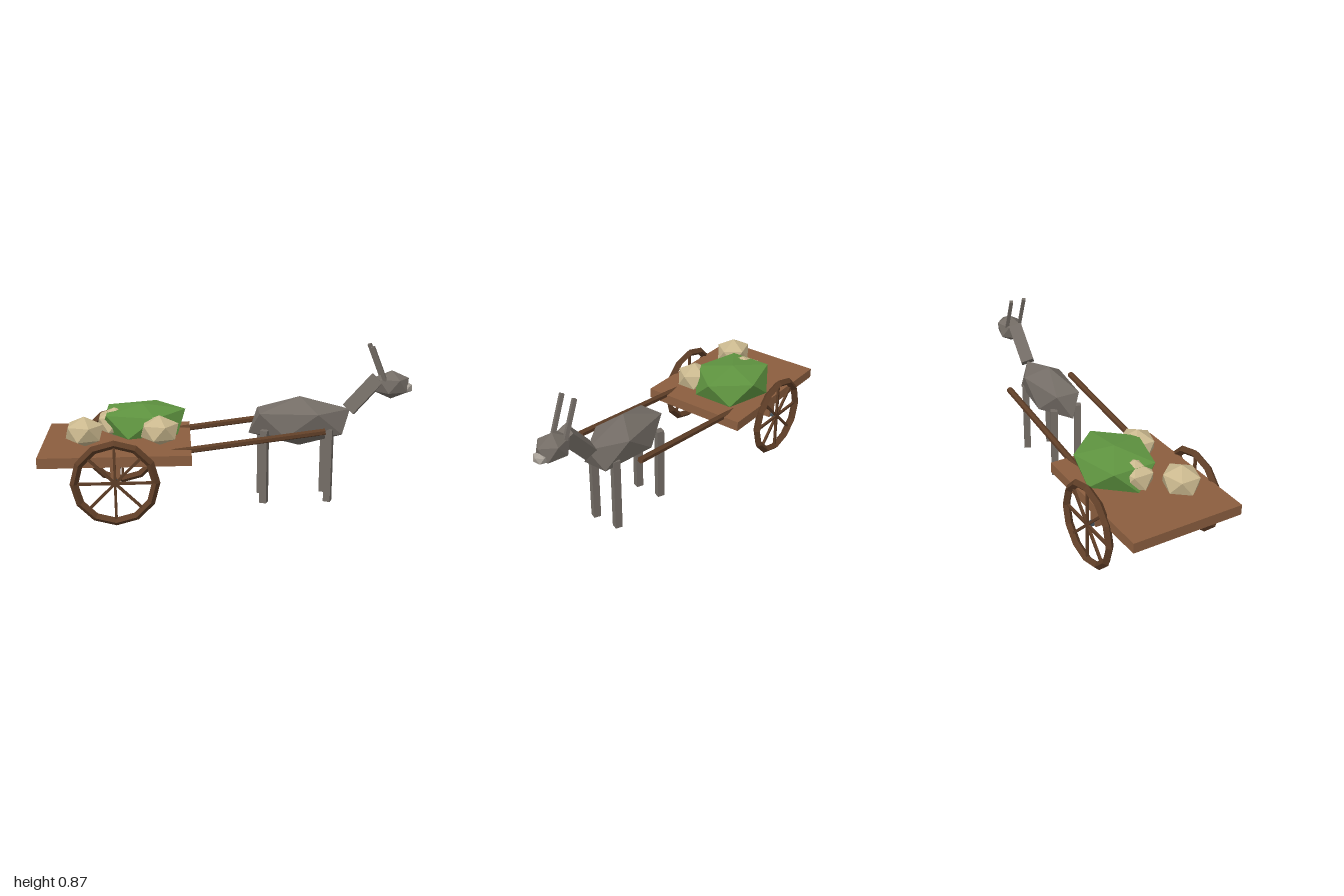
import * as THREE from 'three';

const V = (x, y, z) => new THREE.Vector3(x, y, z);
const UP = V(0, 1, 0);

function material(name, color) {
  const m = new THREE.MeshStandardMaterial({ color });
  m.name = name;
  return m;
}

// faceted normals for the low-poly look
function facet(geo) {
  const g = geo.index ? geo.toNonIndexed() : geo;
  g.computeVertexNormals();
  return g;
}

// twenty-sided lump: two poles and two rings of five
function lump(rx, ry, rz, ringHeight = 0.447) {
  const pos = [0, ry, 0, 0, -ry, 0];
  for (const half of [0, 0.5]) {
    for (let i = 0; i < 5; i++) {
      const a = (i + half) * Math.PI * 0.4;
      pos.push(0.894 * rx * Math.cos(a), (half ? -1 : 1) * ringHeight * ry, -0.894 * rz * Math.sin(a));
    }
  }
  const index = [];
  for (let i = 0; i < 5; i++) {
    const j = (i + 1) % 5;
    const u = 2 + i, u2 = 2 + j, l = 7 + i, l2 = 7 + j;
    index.push(0, u, u2, u, l, u2, u2, l, l2, 1, l2, l);
  }
  const g = new THREE.BufferGeometry();
  g.setAttribute('position', new THREE.Float32BufferAttribute(pos, 3));
  g.setIndex(index);
  return g;
}

export function createModel() {
  const model = new THREE.Group();
  model.name = 'donkeyCart';

  const plank = material('plankBrown', 0x8b5e3f);
  const darkWood = material('darkWood', 0x5f3e27);
  const iron = material('ironSlate', 0x46525c);
  const hide = material('greyHide', 0x746d66);
  const pale = material('paleMuzzle', 0xa8a198);
  const leaf = material('leafGreen', 0x5f9440);
  const sack = material('sackTan', 0xcab88e);

  function add(parent, name, geo, mat, p = V(0, 0, 0)) {
    const mesh = new THREE.Mesh(facet(geo), mat);
    mesh.name = name;
    mesh.position.copy(p);
    parent.add(mesh);
    return mesh;
  }

  // upright geometry of unit height stretched from a to b
  function between(parent, name, geo, mat, a, b) {
    const d = b.clone().sub(a);
    geo.scale(1, d.length(), 1);
    const mesh = add(parent, name, geo, mat, a.clone().add(b).multiplyScalar(0.5));
    mesh.quaternion.setFromUnitVectors(UP, d.normalize());
    return mesh;
  }

  // square bar, turned a little about its own axis
  const bar = (s) => new THREE.BoxGeometry(s, 1, s).rotateY(-0.42);

  // cart
  const cart = new THREE.Group();
  cart.name = 'cart';
  model.add(cart);
  const wheelX = -0.605, wheelY = 0.235;
  add(cart, 'bed', new THREE.BoxGeometry(0.79, 0.055, 0.615), plank, V(-0.605, 0.346, 0));
  between(cart, 'axle', new THREE.CylinderGeometry(0.017, 0.017, 1, 6), iron,
    V(wheelX, wheelY, -0.32), V(wheelX, wheelY, 0.32));

  for (const s of [-1, 1]) {
    add(cart, 'axleBracket', new THREE.BoxGeometry(0.05, 0.1, 0.042), plank, V(wheelX, 0.273, s * 0.264));
    between(cart, 'shaft', new THREE.CylinderGeometry(0.018, 0.018, 1, 6).rotateY(Math.PI / 6), darkWood,
      V(-0.42, 0.344, s * 0.2), V(0.495, 0.455, s * 0.2));

    // wheel with a diamond-section rim and eight spokes
    const wheel = new THREE.Group();
    wheel.name = 'wheel';
    wheel.position.set(wheelX, wheelY, s * 0.318);
    cart.add(wheel);
    add(wheel, 'rim', new THREE.TorusGeometry(0.21, 0.022, 4, 12), darkWood);
    for (let i = 0; i < 4; i++) {
      const spoke = add(wheel, 'spokePair', new THREE.BoxGeometry(0.013, 0.41, 0.013), darkWood);
      spoke.rotation.z = i * Math.PI / 4;
    }
  }

  // load
  const load = new THREE.Group();
  load.name = 'load';
  model.add(load);
  add(load, 'greenBundle', lump(0.263, 0.09, 0.224, 0.62), leaf, V(-0.47, 0.457, -0.087));
  for (const [x, z] of [[-0.77, 0.11], [-0.375, 0.11], [-0.62, -0.06]]) {
    add(load, 'sack', lump(0.112, 0.082, 0.102), sack, V(x, 0.453, z));
  }

  // donkey
  const donkey = new THREE.Group();
  donkey.name = 'donkey';
  model.add(donkey);
  add(donkey, 'body', lump(0.311, 0.139, 0.133), hide, V(0.385, 0.458, 0));
  between(donkey, 'neck', bar(0.075), hide, V(0.655, 0.518, 0), V(0.81, 0.69, 0));
  add(donkey, 'head', lump(0.106, 0.079, 0.079), hide, V(0.885, 0.654, 0));
  add(donkey, 'muzzle', lump(0.037, 0.032, 0.042), pale, V(0.967, 0.636, 0));
  for (const s of [-1, 1]) {
    between(donkey, 'ear', bar(0.02), hide, V(0.84, 0.685, s * 0.04), V(0.764, 0.872, s * 0.04));
    for (const [name, x] of [['frontLeg', 0.54], ['hindLeg', 0.187]]) {
      between(donkey, name, bar(0.039), hide, V(x, 0.016, s * 0.075), V(x, 0.43, s * 0.075));
    }
  }

  return model;
}
